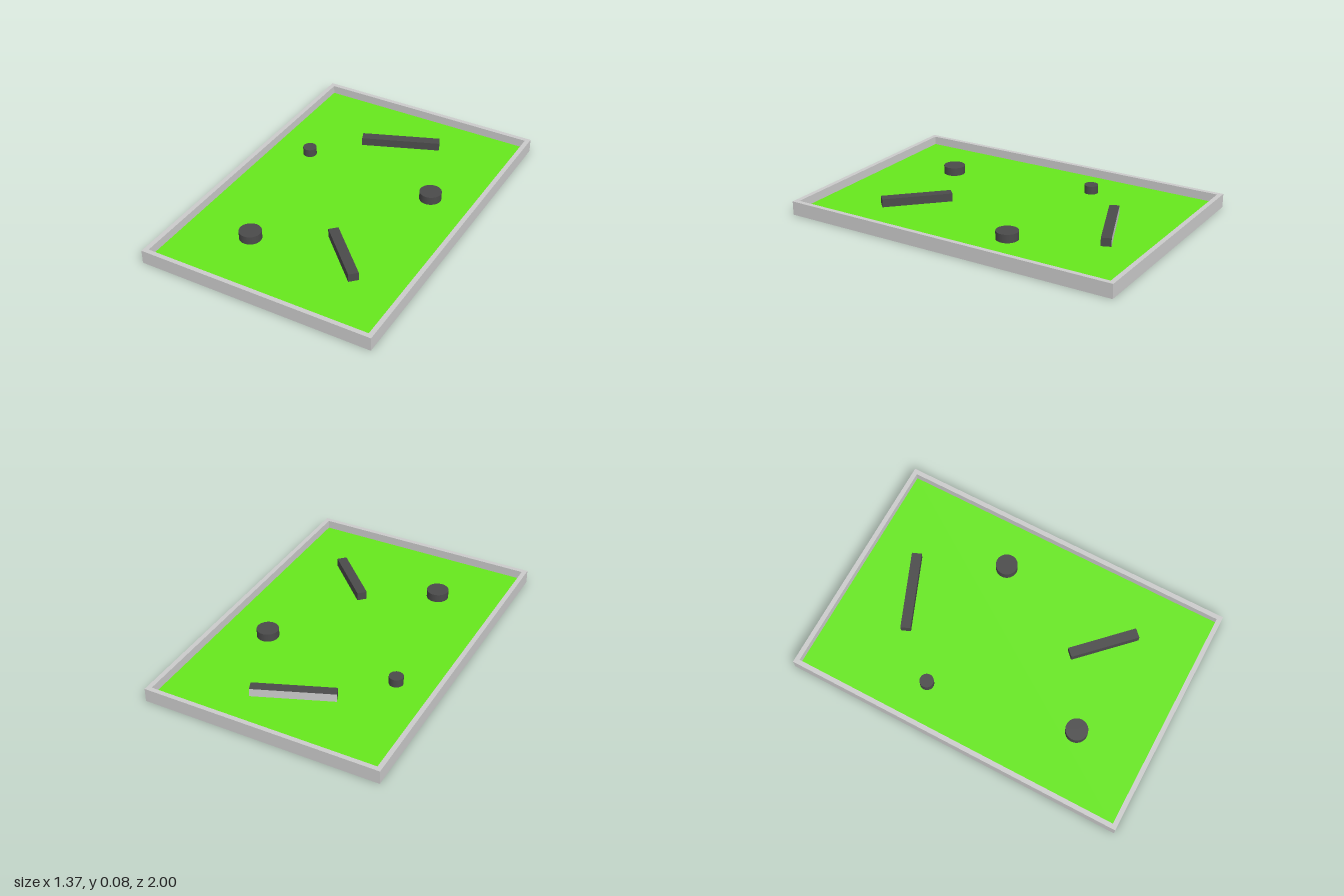
import * as THREE from 'three';

const W = 1.37, L = 2, H = 0.08, WALL = 0.027, FLOOR = 0.03, TOP = 0.078;

export function createModel() {
  const grey = new THREE.MeshStandardMaterial({ color: 0xcccccc });
  const green = new THREE.MeshStandardMaterial({ color: 0x67e81d });
  const dark = new THREE.MeshStandardMaterial({ color: 0x4b4b4b });
  const model = new THREE.Group();
  model.name = 'obstacleTray';

  const add = (name, geometry, material, x, y, z, turn = 0) => {
    const mesh = new THREE.Mesh(geometry, material);
    mesh.name = name;
    mesh.position.set(x, y, z);
    mesh.rotation.y = turn;
    model.add(mesh);
    return mesh;
  };
  const rectangle = (path, w, l) => path
    .moveTo(-w / 2, -l / 2).lineTo(w / 2, -l / 2)
    .lineTo(w / 2, l / 2).lineTo(-w / 2, l / 2).closePath();

  // Rim: one rectangular frame standing around the floor
  const outline = new THREE.Shape();
  rectangle(outline, W, L);
  const opening = new THREE.Path();
  rectangle(opening, W - 2 * WALL, L - 2 * WALL);
  outline.holes.push(opening);
  const frame = new THREE.ExtrudeGeometry(outline, { depth: H, bevelEnabled: false });
  frame.rotateX(-Math.PI / 2);
  add('rim', frame, grey, 0, 0, 0);

  // Floor: green upper face on a grey slab
  const slab = new THREE.BoxGeometry(W - 2 * WALL, FLOOR, L - 2 * WALL);
  add('floor', slab, [grey, grey, green, grey, grey, grey], 0, FLOOR / 2, 0);

  // Obstacles standing on the floor
  const height = TOP - FLOOR, mid = (TOP + FLOOR) / 2;
  for (const [name, r, x, z] of [
    ['rightPost', 0.063, -0.287, 0.57],
    ['leftPost', 0.063, 0.397, -0.23],
    ['smallPost', 0.04, -0.43, -0.29],
  ]) add(name, new THREE.CylinderGeometry(r, r, height, 32), dark, x, mid, z);

  // Bars: the rear one has a plain grey back face
  add('rearBar', new THREE.BoxGeometry(0.462, height, 0.057),
    [dark, dark, dark, dark, dark, grey], 0, mid, -0.635, 0.378);
  add('frontBar', new THREE.BoxGeometry(0.4, height, 0.057),
    dark, 0.233, mid, 0.475, -Math.PI / 4);

  return model;
}
